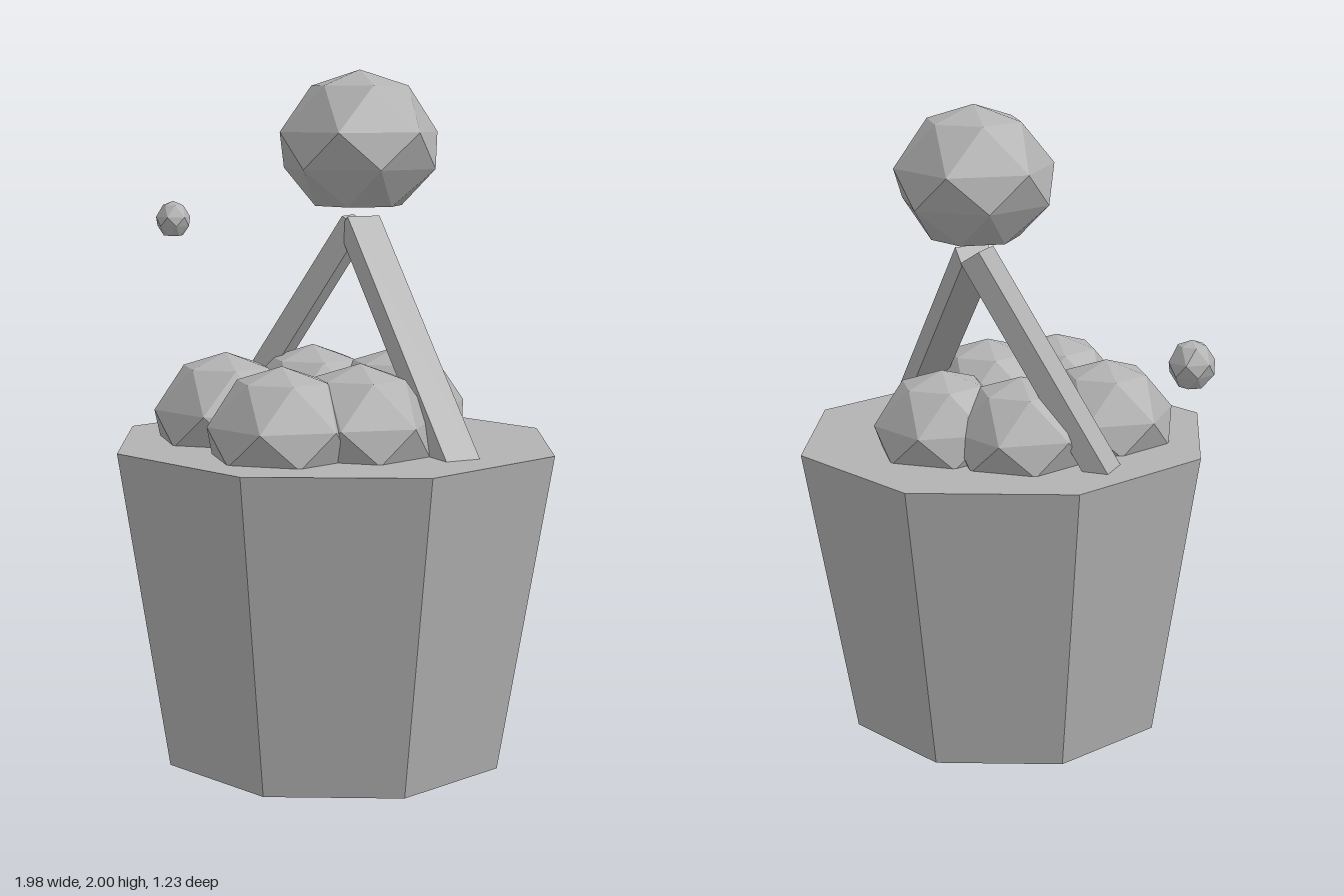
import * as THREE from 'three';

const gray = new THREE.MeshStandardMaterial({ color: 0xb2b2b2, flatShading: true, side: THREE.DoubleSide });
gray.name = 'gray';

// Faceted ball: six-sided rings [radius, height below the top], each turned 30 degrees from the last
function ballGeometry() {
  const rings = [[0, 0], [0.148, 0.047], [0.243, 0.182], [0.232, 0.29], [0.134, 0.4], [0, 0.4]];
  const point = (i, k) => {
    const a = (k + i / 2) * Math.PI / 3;
    return [rings[i][0] * Math.cos(a), -rings[i][1], -rings[i][0] * Math.sin(a)];
  };
  const pos = [];
  for (let i = 0; i < rings.length - 1; i++) {
    for (let k = 0; k < 6; k++) {
      if (rings[i][0] > 0) pos.push(...point(i, k), ...point(i + 1, k), ...point(i, k + 1));
      if (rings[i + 1][0] > 0) pos.push(...point(i, k + 1), ...point(i + 1, k), ...point(i + 1, k + 1));
    }
  }
  const g = new THREE.BufferGeometry();
  g.setAttribute('position', new THREE.Float32BufferAttribute(pos, 3));
  g.computeVertexNormals();
  return g;
}

// Flat bar whose upper face runs along the line from foot to tip
function barGeometry(foot, tip, width, thickness) {
  const along = tip.clone().sub(foot).normalize();
  const side = new THREE.Vector3(0, 1, 0).cross(along).normalize();
  const out = along.clone().cross(side).normalize();
  const start = foot.clone().addScaledVector(along, -0.06);
  const length = start.distanceTo(tip);
  const centre = start.add(tip).multiplyScalar(0.5).addScaledVector(out, -thickness / 2);
  return new THREE.BoxGeometry(width, length, thickness)
    .applyMatrix4(new THREE.Matrix4().makeBasis(side, along, out.negate().negate()).scale(new THREE.Vector3(-1, -1, 1)).setPosition(centre));
}

export function createModel() {
  const model = new THREE.Group();
  model.name = 'bucketOfBalls';
  const add = (name, geometry, x = 0, y = 0, z = 0) => {
    const mesh = new THREE.Mesh(geometry, gray);
    mesh.name = name;
    mesh.position.set(x, y, z);
    model.add(mesh);
    return mesh;
  };

  // Eight-sided bucket, open underneath, with a flat top
  const height = 0.925, topRadius = 0.665, baseRadius = 0.511;
  const wall = new THREE.CylinderGeometry(topRadius, baseRadius, height, 8, 1, true).rotateY(Math.PI / 8);
  add('bucketWall', wall, 0.372, height / 2, 0);
  const lid = new THREE.CircleGeometry(topRadius, 8).rotateX(-Math.PI / 2).rotateY(Math.PI / 8);
  add('bucketTop', lid, 0.372, height, 0);

  // Balls piled in the bucket: [x, z]
  const ball = ballGeometry();
  const pile = [[0.12, 0.2], [0.47, 0.31], [0.575, 0.105], [0.375, -0.255], [0.15, -0.13]];
  for (const [x, z] of pile) add('pileBall', ball, x, 1.18, z).scale.set(0.88, 0.9, 0.88);

  // Two leaning handle bars
  const v = (x, y, z) => new THREE.Vector3(x, y, z);
  add('handleBarRight', barGeometry(v(-0.137, height, -0.013), v(0.235, 1.57, -0.19), 0.108, 0.07));
  add('handleBarLeft', barGeometry(v(0.858, height, -0.013), v(0.3, 1.57, -0.19), 0.108, 0.07));

  // Large ball over the handle and a small floating one
  add('topBall', ball, 0.27, 2, -0.2);
  add('floatingBall', ball, -0.93, 1.56, -0.513).scale.set(0.25, 0.3, 0.25);

  return model;
}
